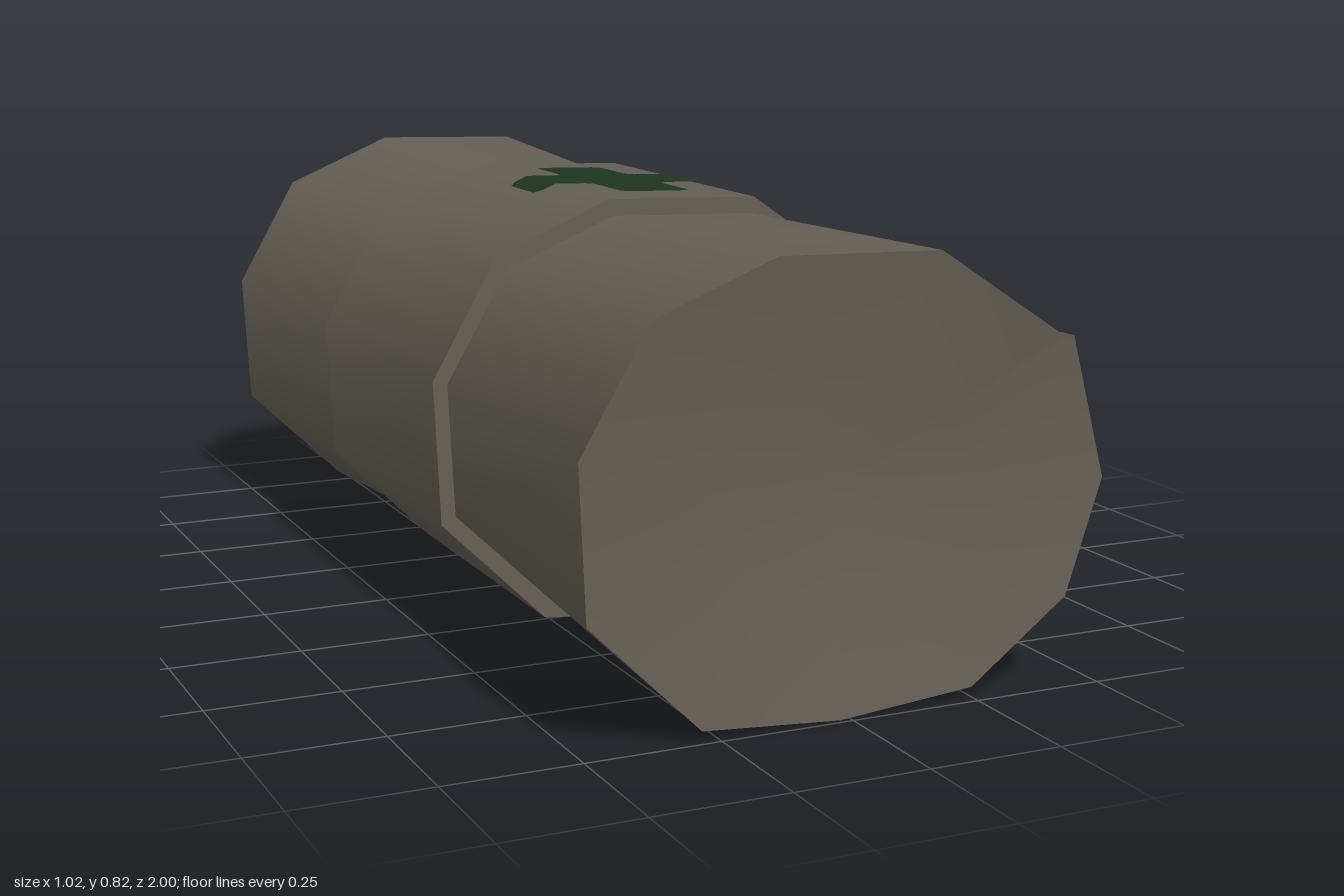
import * as THREE from 'three';
import { toCreasedNormals } from 'three/addons/utils/BufferGeometryUtils.js';

// Uneven outlines, clockwise seen from the front; the roll has a small lip where the cloth ends
const rollOutline = [
  [-0.15, 0.826], [0.16, 0.816], [0.408, 0.64], [0.435, 0.635], [0.507, 0.375], [0.437, 0.165],
  [0.245, 0.024], [-0.02, 0.003], [-0.285, 0.024], [-0.495, 0.23], [-0.509, 0.505], [-0.38, 0.73],
];
const bandOutline = [
  [-0.149, 0.825], [0.158, 0.815], [0.425, 0.63], [0.503, 0.375], [0.432, 0.165], [0.243, 0.025],
  [-0.02, 0.004], [-0.282, 0.025], [-0.49, 0.23], [-0.503, 0.505], [-0.377, 0.728],
];
const MID = 0.413;

// Closed loft through rings, ordered back to front; drop lowers only the upper part of a ring
function loft(outline, rings) {
  const n = outline.length, pos = [], idx = [];
  for (const { z, sx = 1, sy = 1, skew = 0, drop = 0 } of rings) {
    for (const [x, y] of outline) {
      const low = y - drop * Math.max(0, (y - 0.64) / 0.186);
      pos.push(x * sx, MID + (low - MID) * sy, z + skew * x * sx);
    }
  }
  for (let r = 0; r < rings.length - 1; r++) {
    for (let j = 0; j < n; j++) {
      const a = r * n + j, b = r * n + (j + 1) % n;
      idx.push(a, a + n, b + n, a, b + n, b);
    }
  }
  const f = (rings.length - 1) * n;
  for (let j = 1; j < n - 1; j++) idx.push(0, j, j + 1, f, f + j + 1, f + j);
  const g = new THREE.BufferGeometry();
  g.setAttribute('position', new THREE.Float32BufferAttribute(pos, 3));
  g.setIndex(idx);
  return toCreasedNormals(g, THREE.MathUtils.degToRad(48));
}

// Height of the band's upper surface
function topY(x) {
  const [left, right, side] = bandOutline;
  const [a, b] = x < left[0] ? [bandOutline.at(-1), left] : x < right[0] ? [left, right] : [right, side];
  return THREE.MathUtils.mapLinear(x, a[0], b[0], a[1], b[1]);
}

// Cross draped over the band: columns of [x, z back, z front]
function crossGeometry() {
  const columns = [
    [-0.19, -0.085, 0.035], [-0.175, -0.1, 0.05], [-0.149, -0.1, 0.05], [-0.085, -0.1, 0.05],
    [-0.07, -0.115, 0.065], [-0.07, -0.235, 0.185], [-0.055, -0.25, 0.2], [0.06, -0.25, 0.2],
    [0.075, -0.235, 0.185], [0.075, -0.115, 0.065], [0.09, -0.1, 0.05], [0.158, -0.1, 0.05],
    [0.19, -0.1, 0.05], [0.203, -0.085, 0.035],
  ];
  const pos = [], idx = [];
  columns.forEach(([x, z0, z1], i) => {
    const y = topY(x) + 0.002;
    pos.push(x, y, z0, x, y, z1);
    if (i) {
      const a = 2 * i - 2;
      idx.push(a, a + 1, a + 3, a, a + 3, a + 2);
    }
  });
  const g = new THREE.BufferGeometry();
  g.setAttribute('position', new THREE.Float32BufferAttribute(pos, 3));
  g.setIndex(idx);
  g.computeVertexNormals();
  return g;
}

export function createModel() {
  const cloth = new THREE.MeshStandardMaterial({ name: 'grey cloth', color: 0x645f55 });
  const green = new THREE.MeshStandardMaterial({ name: 'dark green', color: 0x1f3423, side: THREE.DoubleSide });
  const group = new THREE.Group();
  group.name = 'bandageRoll';
  const add = (name, geometry, material) => {
    const mesh = new THREE.Mesh(geometry, material);
    mesh.name = name;
    group.add(mesh);
  };

  // Roll pinched at the waist, flaring to both ends, with shallow hollows in the end faces
  add('roll', loft(rollOutline, [
    { z: -0.957, sx: 0.08, sy: 0.08 },
    { z: -0.967, sx: 0.5, sy: 0.5, skew: -0.005 },
    { z: -0.997, skew: -0.005 },
    { z: -0.35, sx: 0.933, sy: 0.925 },
    { z: 0.31, sx: 0.933, sy: 0.92 },
    { z: 0.99, skew: -0.02, drop: 0.016 },
    { z: 0.96, sx: 0.5, sy: 0.5, skew: -0.02, drop: 0.016 },
    { z: 0.95, sx: 0.08, sy: 0.08, skew: -0.02 },
  ]), cloth);

  // Wide strap round the middle
  add('band', loft(bandOutline, [{ z: -0.353 }, { z: 0.308 }]), cloth);

  // Painted cross on top of the strap
  add('cross', crossGeometry(), green);
  return group;
}
